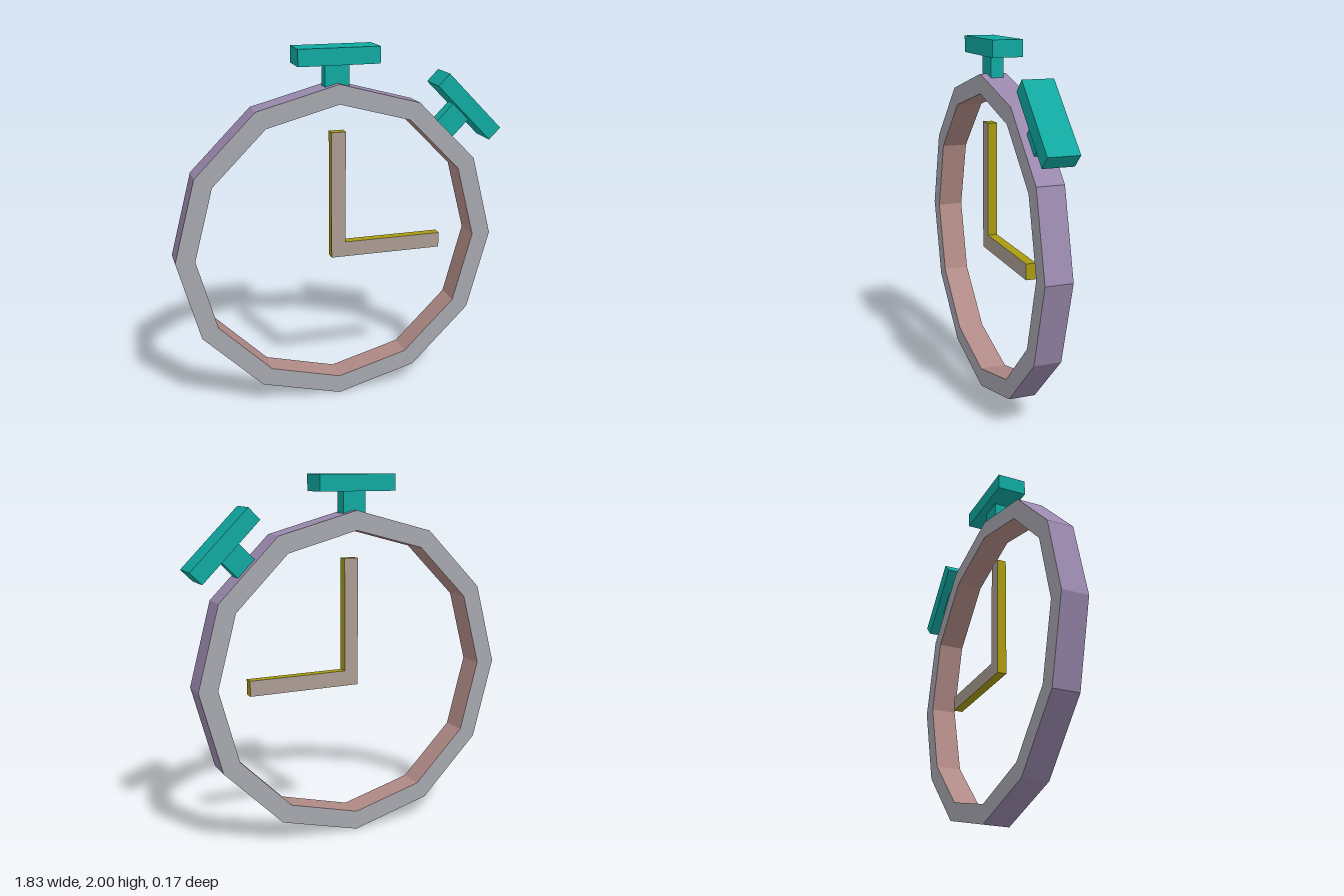
import * as THREE from 'three';

const paint = (color, side = THREE.FrontSide) =>
  new THREE.MeshStandardMaterial({ color, side, flatShading: true });

const CX = -0.015, CY = 0.907; // dial centre
const OUTER = 0.903, INNER = 0.797, SIDES = 12, DEPTH = 0.147;

function add(parent, name, geometry, material) {
  const mesh = new THREE.Mesh(geometry, material);
  mesh.name = name;
  parent.add(mesh);
  return mesh;
}

// Twelve-sided case ring with a vertex at the top, open through the middle
function makeCase() {
  const ring = new THREE.Group();
  ring.name = 'caseRing';
  const grey = paint(0xa6a6ae);
  const wall = (r) => new THREE.CylinderGeometry(r, r, DEPTH, SIDES, 1, true).rotateX(Math.PI / 2);
  add(ring, 'outerWall', wall(OUTER), paint(0x9988ac));
  add(ring, 'innerWall', wall(INNER), paint(0xb08a86, THREE.BackSide));
  const face = () => new THREE.RingGeometry(INNER, OUTER, SIDES, 1, Math.PI / 2);
  add(ring, 'frontFace', face(), grey).position.z = DEPTH / 2;
  const back = add(ring, 'backFace', face(), grey);
  back.rotation.y = Math.PI;
  back.position.z = -DEPTH / 2;
  ring.position.set(CX, CY, 0);
  return ring;
}

// Push button: wide cap on a short stem, origin at the cap centre
function makeButton(name, x, y, angle) {
  const button = new THREE.Group();
  button.name = name;
  const teal = paint(0x10a8a0);
  add(button, 'cap', new THREE.BoxGeometry(0.445, 0.09, 0.166), teal);
  add(button, 'stem', new THREE.BoxGeometry(0.132, 0.17, 0.07), teal).position.y = -0.125;
  button.position.set(x, y, 0);
  button.rotation.z = angle;
  return button;
}

// Two clock hands joined in one L-shaped piece
function makeHands(group) {
  const outline = [[-0.053, 0.84], [0.585, 0.84], [0.585, 0.925], [0.027, 0.925], [0.027, 1.55], [-0.053, 1.55]];
  const shape = new THREE.Shape(outline.map(([x, y]) => new THREE.Vector2(x, y)));
  const geometry = new THREE.ExtrudeGeometry(shape, { depth: 0.053, bevelEnabled: false });
  add(group, 'clockHands', geometry, [paint(0xaa9c92), paint(0xa89a12)]).position.z = -0.008;
}

export function createModel() {
  const model = new THREE.Group();
  model.name = 'stopwatch';
  model.add(makeCase());
  model.add(makeButton('topButton', -0.018, 1.955, 0));
  model.add(makeButton('sideButton', 0.725, 1.65, -Math.PI / 4));
  makeHands(model);
  return model;
}
